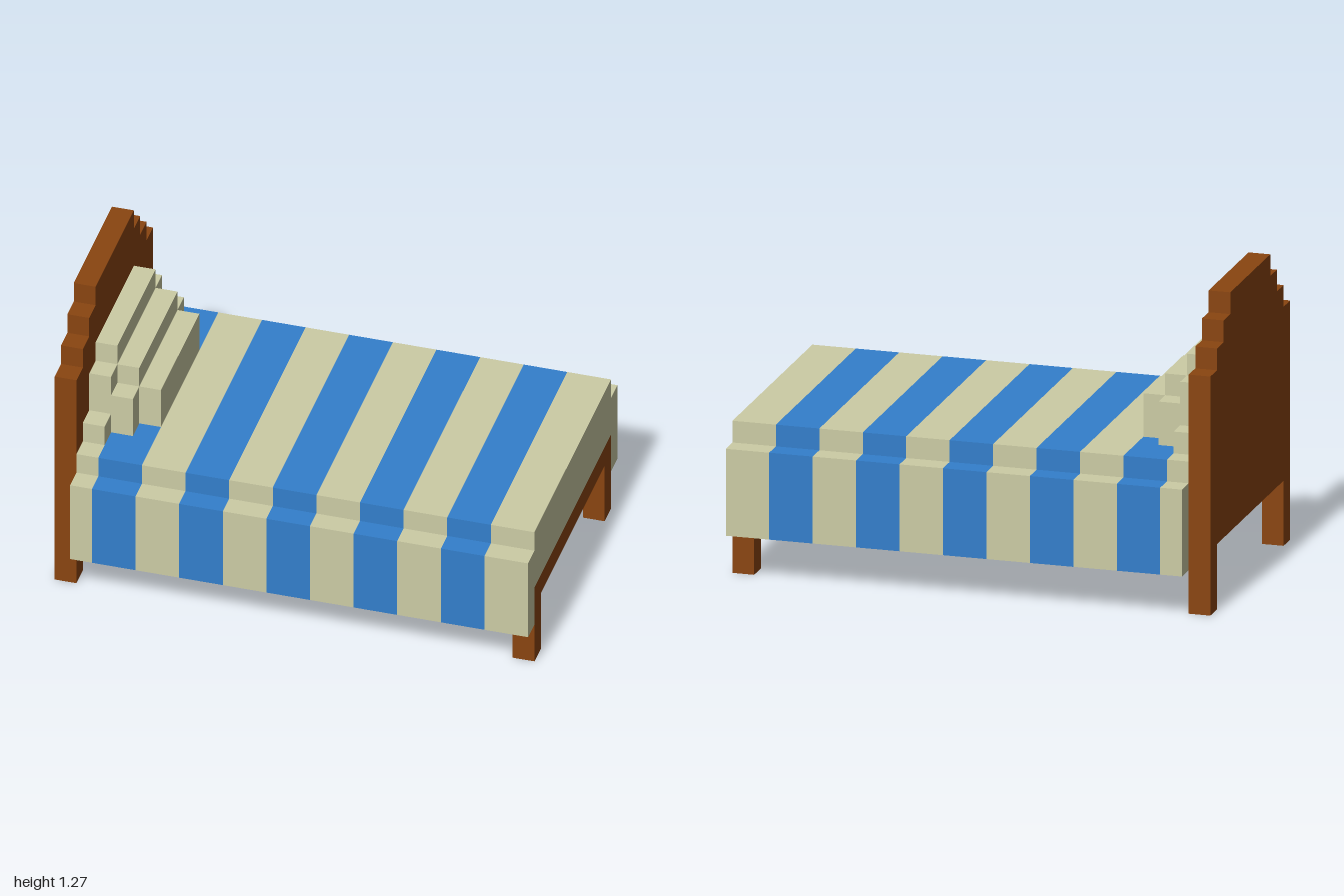
import * as THREE from 'three';

const U = 1 / 11; // one block of the stepped design

export function createModel() {
  const wood = new THREE.MeshStandardMaterial({ name: 'brown wood', color: 0x8a4510 });
  const cream = new THREE.MeshStandardMaterial({ name: 'cream linen', color: 0xcccca5 });
  const blue = new THREE.MeshStandardMaterial({ name: 'blue stripe', color: 0x337fcc });
  const bed = new THREE.Group();
  bed.name = 'bed';

  const group = (name) => {
    const g = new THREE.Group();
    g.name = name;
    bed.add(g);
    return g;
  };

  // Box given by its limits, in blocks
  const box = (parent, name, mat, [x0, x1], [y0, y1], [z0, z1]) => {
    const geo = new THREE.BoxGeometry((x1 - x0) * U, (y1 - y0) * U, (z1 - z0) * U);
    const mesh = new THREE.Mesh(geo, mat);
    mesh.name = name;
    mesh.position.set((x0 + x1) * U / 2, (y0 + y1) * U / 2, (z0 + z1) * U / 2);
    parent.add(mesh);
  };

  // One-block-thick panel from half an outline [z, y], mirrored across z = 0
  const panel = (parent, name, mat, x0, half) => {
    const mirrored = half.map(([z, y]) => [-z, y]).reverse();
    const pts = [...half, ...mirrored].map(([z, y]) => new THREE.Vector2(z * U, y * U));
    const geo = new THREE.ExtrudeGeometry(new THREE.Shape(pts), { depth: U, bevelEnabled: false });
    geo.rotateY(Math.PI / 2);
    const mesh = new THREE.Mesh(geo, mat);
    mesh.name = name;
    mesh.position.x = x0 * U;
    parent.add(mesh);
  };

  // Stair-stepped half outline from [half width, top] pairs, widest first
  const steps = (base, list) => {
    const pts = [];
    let y = base;
    for (const [w, top] of list) {
      pts.push([w, y], [w, top]);
      y = top;
    }
    return pts;
  };

  // Headboard with its two legs
  panel(bed, 'headboard', wood, -11,
    [[5, 3], [5, 0], ...steps(0, [[6, 11], [5, 12], [4, 13], [3, 14]])]);

  // Frame: side rails, foot legs and slats
  const frame = group('frame');
  for (const z of [-6, 5]) {
    box(frame, 'sideRail', wood, [-10, 11], [3, 4], [z, z + 1]);
    box(frame, 'footLeg', wood, [10, 11], [0, 3], [z, z + 1]);
  }

  // Mattress core
  box(bed, 'mattress', cream, [-10, 11], [4, 6], [-6, 6]);

  // Striped cover with hanging sides; a slat lies under each cream stripe
  const cover = group('stripedCover');
  const edges = [-10, -9, -7, -5, -3, -1, 1, 3, 5, 7, 9, 11];
  for (let i = 0; i < edges.length - 1; i++) {
    const x = [edges[i], edges[i + 1]];
    const mat = i % 2 ? blue : cream;
    box(cover, 'coverTop', mat, x, [6, 7], [-6, 6]);
    for (const z of [-7, 6]) box(cover, 'coverSide', mat, x, [2, 6], [z, z + 1]);
    if (i % 2 === 0) box(frame, 'slat', wood, x, [3, 4], [-5, 5]);
  }

  // Pillow in three stepped layers
  const pillow = group('pillow');
  panel(pillow, 'pillowBack', cream, -10, steps(7, [[5, 8], [4, 10], [3, 11]]));
  panel(pillow, 'pillowMiddle', cream, -9, steps(7, [[4, 9], [3, 10]]));
  panel(pillow, 'pillowFront', cream, -8, steps(7, [[3, 9]]));

  return bed;
}
